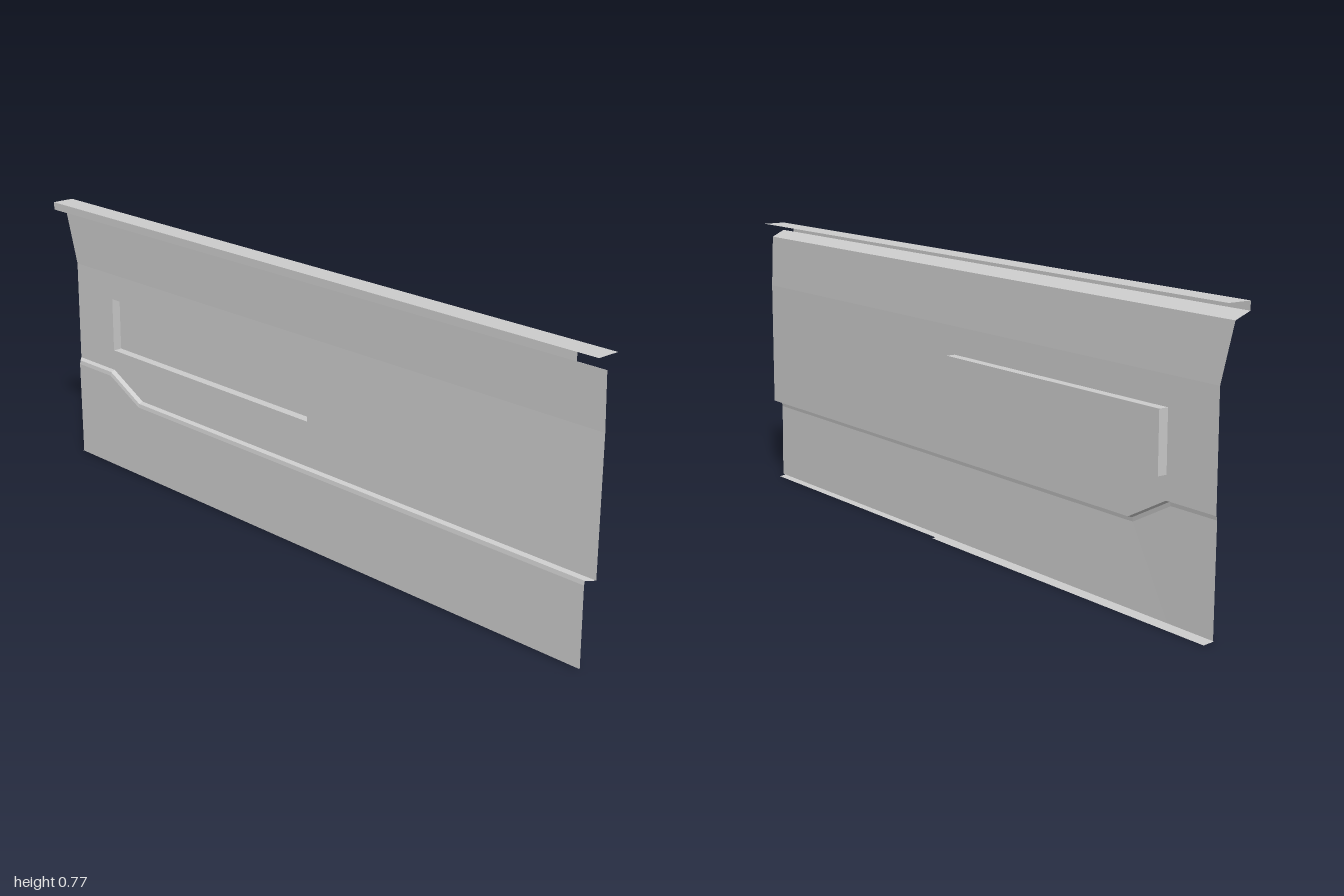
import * as THREE from 'three';

const material = new THREE.MeshStandardMaterial({ color: 0xcccccc, flatShading: true, side: THREE.DoubleSide });

function addMesh(group, name, geometry) {
  const mesh = new THREE.Mesh(geometry, material);
  mesh.name = name;
  group.add(mesh);
  return mesh;
}

// Joins rows of [x, y, z] points into a folded sheet facing the front.
// Rows run left to right in x, ordered from bottom to top.
function sheet(rows) {
  const pos = [];
  for (let r = 0; r < rows.length - 1; r++) {
    for (let i = 0; i < rows[r].length - 1; i++) {
      const a = rows[r][i], b = rows[r][i + 1], c = rows[r + 1][i + 1], d = rows[r + 1][i];
      pos.push(...a, ...b, ...c, ...a, ...c, ...d);
    }
  }
  const geometry = new THREE.BufferGeometry();
  geometry.setAttribute('position', new THREE.Float32BufferAttribute(pos, 3));
  geometry.computeVertexNormals();
  return geometry;
}

const vectors = (points) => points.map(([x, y]) => new THREE.Vector2(x, y));

export function createModel() {
  const group = new THREE.Group();
  group.name = 'tailgatePanel';

  const upperZ = -0.012, lowerZ = 0.001, recessZ = -0.038;

  // Cranked crease between the upper and lower skins
  const crease = [[-0.965, 0.295], [-0.8, 0.295], [-0.67, 0.23], [0.99, 0.23]];
  const recess = [[-0.8, 0.355], [0.03, 0.355], [0.03, 0.51], [-0.8, 0.51]];

  // Upper skin with the opening of the recess
  const upper = new THREE.Shape(vectors([...crease, [0.99, 0.585], [-0.965, 0.585]]));
  upper.holes.push(new THREE.Path(vectors(recess)));
  addMesh(group, 'upperSkin', new THREE.ShapeGeometry(upper)).position.z = upperZ;

  // Slightly tilted band that widens towards the top left
  addMesh(group, 'upperBand', sheet([
    [[-0.965, 0.585, upperZ], [0.99, 0.585, upperZ]],
    [[-1, 0.731, -0.006], [0.99, 0.731, -0.006]],
  ]));

  // Recess: four walls and a back
  const loop = [...recess, recess[0]];
  addMesh(group, 'recessWalls', sheet(
    [upperZ, -0.022, -0.033, recessZ].map((z) => loop.map(([x, y]) => [x, y, z])),
  ));
  addMesh(group, 'recessBack', new THREE.ShapeGeometry(new THREE.Shape(vectors(recess)))).position.z = recessZ;

  // Sloping ledge along the crease
  const clampX = (x) => Math.min(0.968, Math.max(-0.952, x));
  const creaseRow = (drop, z, clamp) => crease.map(([x, y]) => [clamp ? clampX(x) : x, y - drop, z]);
  addMesh(group, 'creaseLedge', sheet([
    creaseRow(0.015, 0.003, true),
    creaseRow(0.004, lowerZ, true),
    creaseRow(0, upperZ, false),
  ]));

  // Lower skin, running from the ledge to the bottom edge
  addMesh(group, 'lowerSkin', sheet([
    crease.map(([x]) => [clampX(x), 0.003, lowerZ]),
    creaseRow(0.015, 0.003, true),
  ]));

  // Bottom hem folded to the rear, deeper on one half
  for (const [name, x0, x1, z] of [['deepHem', -0.955, 0.11, -0.03], ['shallowHem', 0.11, 0.955, -0.018]]) {
    addMesh(group, name, sheet([
      [[x0, 0, z], [x1, 0, z]],
      [[x0, 0.003, lowerZ], [x1, 0.003, lowerZ]],
    ]));
  }

  // Top rail: sloping lip, front face and flat cap, open at the rear
  addMesh(group, 'railLip', sheet([
    [[-1, 0.731, -0.006], [0.99, 0.731, -0.006]],
    [[-1, 0.748, 0.037], [1, 0.748, 0.037]],
  ]));
  addMesh(group, 'railFront', sheet([
    [[-1, 0.748, 0.037], [0.94, 0.748, 0.037]],
    [[-1, 0.77, 0.037], [0.94, 0.77, 0.037]],
  ]));
  addMesh(group, 'railCap', sheet([
    [[-1, 0.77, 0.038], [1, 0.77, 0.038]],
    [[-1, 0.77, -0.027], [1, 0.77, -0.027]],
  ]));

  return group;
}
